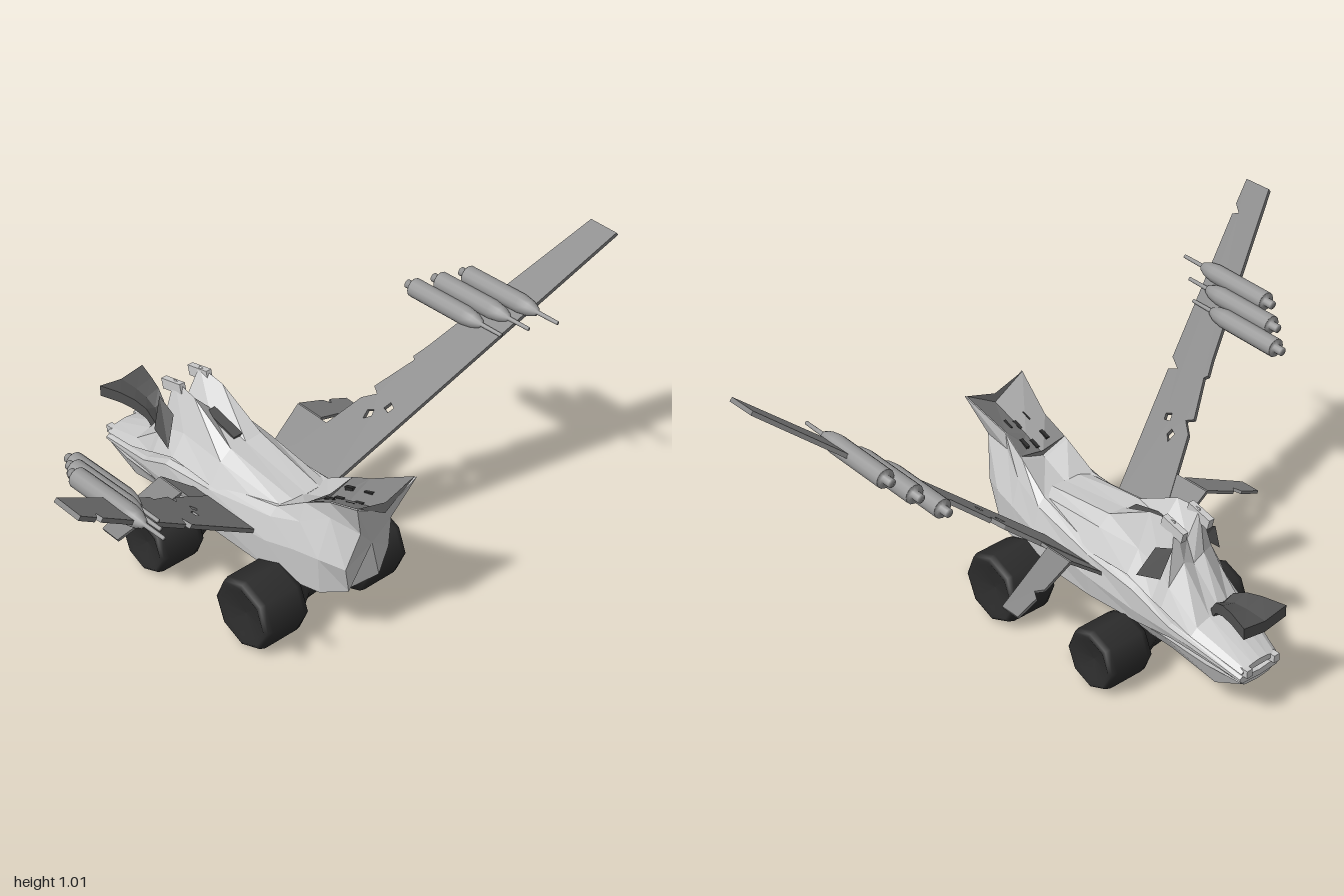
import * as THREE from 'three';

const mat = (color) => new THREE.MeshStandardMaterial({ color, flatShading: true, side: THREE.DoubleSide });
const hullMat = mat(0xcccccc), wingMat = mat(0x808080), darkMat = mat(0x505050);
const tyreMat = new THREE.MeshStandardMaterial({ color: 0x2c2c2c });
const gunMat = new THREE.MeshStandardMaterial({ color: 0x999999 });

const ring = (z, ...pts) => pts.map(([x, y, dz = 0]) => new THREE.Vector3(x, y, z + dz));

// Skin half cross-sections (top centre -> left side -> bottom centre), mirrored in x, running towards -z.
function loft(halfRings) {
  const rings = halfRings.map((h) => [
    ...h, ...h.slice(1, -1).reverse().map((p) => new THREE.Vector3(-p.x, p.y, p.z))]);
  const n = rings[0].length, verts = [];
  const tri = (...ps) => ps.forEach((p) => verts.push(p.x, p.y, p.z));
  const middle = (r) => r.reduce((s, p) => s.add(p), new THREE.Vector3()).divideScalar(n);
  for (let j = 0; j < n; j++) {
    const k = (j + 1) % n;
    for (let i = 0; i + 1 < rings.length; i++) {
      const a = rings[i], b = rings[i + 1];
      tri(a[j], a[k], b[k]);
      tri(a[j], b[k], b[j]);
    }
    const first = rings[0], last = rings[rings.length - 1];
    tri(middle(first), first[k], first[j]);
    tri(middle(last), last[j], last[k]);
  }
  const g = new THREE.BufferGeometry();
  g.setAttribute('position', new THREE.Float32BufferAttribute(verts, 3));
  g.computeVertexNormals();
  return g;
}

// Thin panel drawn in (span, z), laid along the line from root to tip in the x-y plane.
function panel(side, root, tip, outline, holes, thick) {
  const toShape = (C, pts) => new C(pts.map(([s, z]) => new THREE.Vector2(s, z)));
  const shape = toShape(THREE.Shape, outline);
  shape.holes = holes.map((h) => toShape(THREE.Path, h));
  const g = new THREE.ExtrudeGeometry(shape, { depth: thick, bevelEnabled: false });
  g.translate(0, 0, -thick / 2);
  const X = new THREE.Vector3(side * (tip[0] - root[0]), tip[1] - root[1], 0).normalize();
  const Y = new THREE.Vector3(0, 0, 1);
  const m = new THREE.Matrix4().makeBasis(X, Y, new THREE.Vector3().crossVectors(X, Y));
  m.setPosition(side * root[0], root[1], 0);
  return g.applyMatrix4(m);
}

const lathe = (pts, sides) => new THREE.LatheGeometry(pts.map(([r, y]) => new THREE.Vector2(r, y)), sides);

export function createModel() {
  const model = new THREE.Group();
  const add = (name, geometry, material, parent = model) => {
    const m = new THREE.Mesh(geometry, material);
    m.name = name;
    parent.add(m);
    return m;
  };

  // Main hull with the raised forked prow
  add('hull', loft([
    ring(0.59, [0, 0.54], [0.115, 0.61, 0.01], [0.06, 0.47, -0.03], [0.085, 0.33, -0.06], [0.06, 0.23, -0.07], [0, 0.17, -0.13]),
    ring(0.45, [0, 0.49], [0.08, 0.53], [0.075, 0.47], [0.12, 0.34], [0.11, 0.21], [0, 0.17, -0.02]),
    ring(0.36, [0, 0.45], [0.09, 0.48], [0.11, 0.42], [0.135, 0.33], [0.125, 0.2], [0, 0.15]),
    ring(0.25, [0, 0.4], [0.1, 0.405], [0.125, 0.38], [0.145, 0.3], [0.135, 0.19], [0, 0.12]),
    ring(0, [0, 0.36], [0.13, 0.36], [0.145, 0.34], [0.155, 0.27], [0.14, 0.19], [0, 0.13]),
    ring(-0.2, [0, 0.33], [0.13, 0.33], [0.15, 0.32], [0.15, 0.25], [0.135, 0.2], [0, 0.17]),
    ring(-0.33, [0, 0.25], [0.115, 0.255], [0.13, 0.25], [0.13, 0.23], [0.12, 0.205], [0, 0.19]),
    ring(-0.58, [0, 0.17], [0.07, 0.178], [0.08, 0.172], [0.08, 0.165], [0.07, 0.155], [0, 0.15]),
  ]), hullMat);

  // Darker plate lying in the prow, with rows of slits
  const deck = (z, yMid, w, yEdge) => ring(z, [0, yMid + 0.004], [w, yEdge + 0.003], [0, yMid - 0.004]);
  add('prowDeck', loft([
    deck(0.594, 0.54, 0.112, 0.607), deck(0.45, 0.49, 0.079, 0.53), deck(0.37, 0.455, 0.088, 0.484),
  ]), wingMat);
  for (const x of [-0.04, 0, 0.04]) for (const z of [0.41, 0.49]) {
    const slit = add('deckSlit', new THREE.BoxGeometry(0.012, 0.012, 0.035), tyreMat);
    slit.position.set(x, 0.475 + (z - 0.41) * 0.38 + Math.abs(x) * 0.45, z);
    slit.rotation.x = -0.36;
  }

  // Upper shell: cowl with two ridges, sloping to the snout
  add('upperShell', loft([
    ring(0.27, [0, 0.41], [0.05, 0.412], [0.09, 0.4], [0.12, 0.36], [0, 0.36]),
    ring(0, [0, 0.445], [0.06, 0.45], [0.1, 0.42], [0.14, 0.35], [0, 0.35]),
    ring(-0.17, [0, 0.48], [0.055, 0.54], [0.1, 0.43], [0.145, 0.36], [0, 0.35]),
    ring(-0.27, [0, 0.47], [0.05, 0.555], [0.1, 0.4], [0.14, 0.32], [0, 0.32]),
    ring(-0.3, [0, 0.4], [0.04, 0.42], [0.1, 0.36], [0.13, 0.3], [0, 0.3]),
    ring(-0.41, [0, 0.29], [0.04, 0.285], [0.09, 0.27], [0.115, 0.25], [0, 0.25]),
    ring(-0.58, [0, 0.21], [0.03, 0.207], [0.06, 0.2], [0.075, 0.188], [0, 0.188]),
  ]), hullMat);
  const cockpit = add('cockpitPanel', new THREE.BoxGeometry(0.05, 0.01, 0.13), darkMat);
  cockpit.position.set(0, 0.468, -0.09);
  cockpit.rotation.x = 0.21;

  // Chin under the snout
  add('chin', loft([
    ring(0.1, [0, 0.17], [0.11, 0.18], [0.07, 0.15], [0, 0.125]),
    ring(-0.1, [0, 0.18], [0.13, 0.195], [0.09, 0.14], [0, 0.13]),
    ring(-0.3, [0, 0.18], [0.12, 0.195], [0.08, 0.13], [0, 0.115]),
    ring(-0.46, [0, 0.15], [0.095, 0.165], [0.06, 0.085], [0, 0.075]),
    ring(-0.57, [0, 0.14], [0.07, 0.15], [0.05, 0.135], [0, 0.13]),
  ]), hullMat);

  // Curved, flaring tail horn
  const horn = (z, y, w) => ring(z, [0, y + 0.01], [w, y + 0.024], [w, y - 0.014], [0, y - 0.028]);
  add('tailHorn', loft([
    horn(-0.4, 0.278, 0.025), horn(-0.43, 0.32, 0.035), horn(-0.47, 0.338, 0.048),
    horn(-0.52, 0.344, 0.062), horn(-0.595, 0.341, 0.085),
  ]), darkMat);

  // Lathe profiles: half axle with wheel (scaled by tyre radius) and gun pod
  const wheelProfile = (r) => [[0.05, 0], [0.055, 0.06], [r * 0.75, 0.11], [r * 0.97, 0.122], [r, 0.14], [r, 0.26],
    [r * 0.95, 0.278], [r * 0.85, 0.284], [r * 0.68, 0.275], [0, 0.262]];
  const podProfile = [[0, 0], [0.014, 0], [0.014, 0.028], [0.03, 0.028], [0.031, 0.03], [0.031, 0.25], [0.025, 0.285],
    [0.014, 0.31], [0.007, 0.315], [0.006, 0.395], [0, 0.395]];

  for (const side of [1, -1]) {
    const half = new THREE.Group();
    half.name = side > 0 ? 'leftSide' : 'rightSide';
    model.add(half);

    // Raised main wing with battle damage, the right one cut deeper
    const cuts = side < 0 ? [[0.46, 0.325], [0.475, 0.295], [0.5, 0.338], [1.0, 0.476], [1.01, 0.455], [1.035, 0.487]] : [];
    const outline = [[0, 0.195], ...cuts, [1.123, 0.51], [1.123, 0.41], [0.55, 0.2], [0.5, 0.178], [0.49, 0.188],
      [0.36, 0.125], [0.345, 0.15], [0.31, 0.11], [0.04, 0], [0, -0.03]];
    const holes = [
      [[0.26, 0.16], [0.29, 0.155], [0.3, 0.175], [0.28, 0.18]],
      [[0.32, 0.2], [0.345, 0.21], [0.335, 0.23], [0.315, 0.222]],
    ];
    add('wing', panel(side, [0.13, 0.292], [1, 1.004], outline, holes, 0.014), wingMat, half);

    // Rear winglet: root strip rising with the wing, then a drooping blade
    add('wingletRoot', panel(side, [0.13, 0.292], [0.275, 0.411],
      [[0, 0.06], [0.188, 0.11], [0.188, -0.07], [0, -0.06]], [], 0.01), wingMat, half);
    add('winglet', panel(side, [0.275, 0.411], [0.485, 0.322],
      [[0, 0.03], [0.228, -0.01], [0.228, -0.08], [0.15, -0.08], [0.135, -0.055], [0.115, -0.078], [0, -0.07]],
      [], 0.01), wingMat, half);

    // Three staggered gun pods on each wing
    for (const [x, y, z] of [[0.745, 0.795, 0.135], [0.7, 0.758, 0.065], [0.655, 0.722, 0]]) {
      const pod = add('gunPod', lathe(podProfile, 12).rotateX(Math.PI / 2), gunMat, half);
      pod.position.set(side * x, y, z);
      pod.rotation.x = -0.04;
    }

    // Octagonal wheels on tapered axles
    for (const [name, y, z, r] of [['frontWheel', 0.121, 0.3, 0.119], ['rearWheel', 0.104, -0.155, 0.101]]) {
      const wheel = add(name, lathe(wheelProfile(r), 8).rotateZ(-side * Math.PI / 2), tyreMat, half);
      wheel.position.set(0, y, z);
    }

    // Dark vent plate on the cowl side
    const vent = new THREE.BufferGeometry();
    vent.setAttribute('position', new THREE.Float32BufferAttribute([
      [0.085, 0.49, -0.3], [0.088, 0.46, -0.23], [0.136, 0.37, -0.2], [0.12, 0.39, -0.285],
    ].flatMap(([x, y, z]) => [side * x, y, z]), 3));
    vent.setIndex(side > 0 ? [0, 1, 2, 0, 2, 3] : [0, 2, 1, 0, 3, 2]);
    vent.computeVertexNormals();
    add('cowlVent', vent, darkMat, half);

    // Cowl tips and snout prongs
    const tip = add('cowlTip', new THREE.BoxGeometry(0.02, 0.035, 0.09), hullMat, half);
    tip.position.set(side * 0.052, 0.53, -0.27);
    tip.rotation.x = -0.25;
    add('snoutProng', new THREE.BoxGeometry(0.022, 0.025, 0.05), hullMat, half).position.set(side * 0.055, 0.19, -0.57);
  }
  return model;
}
